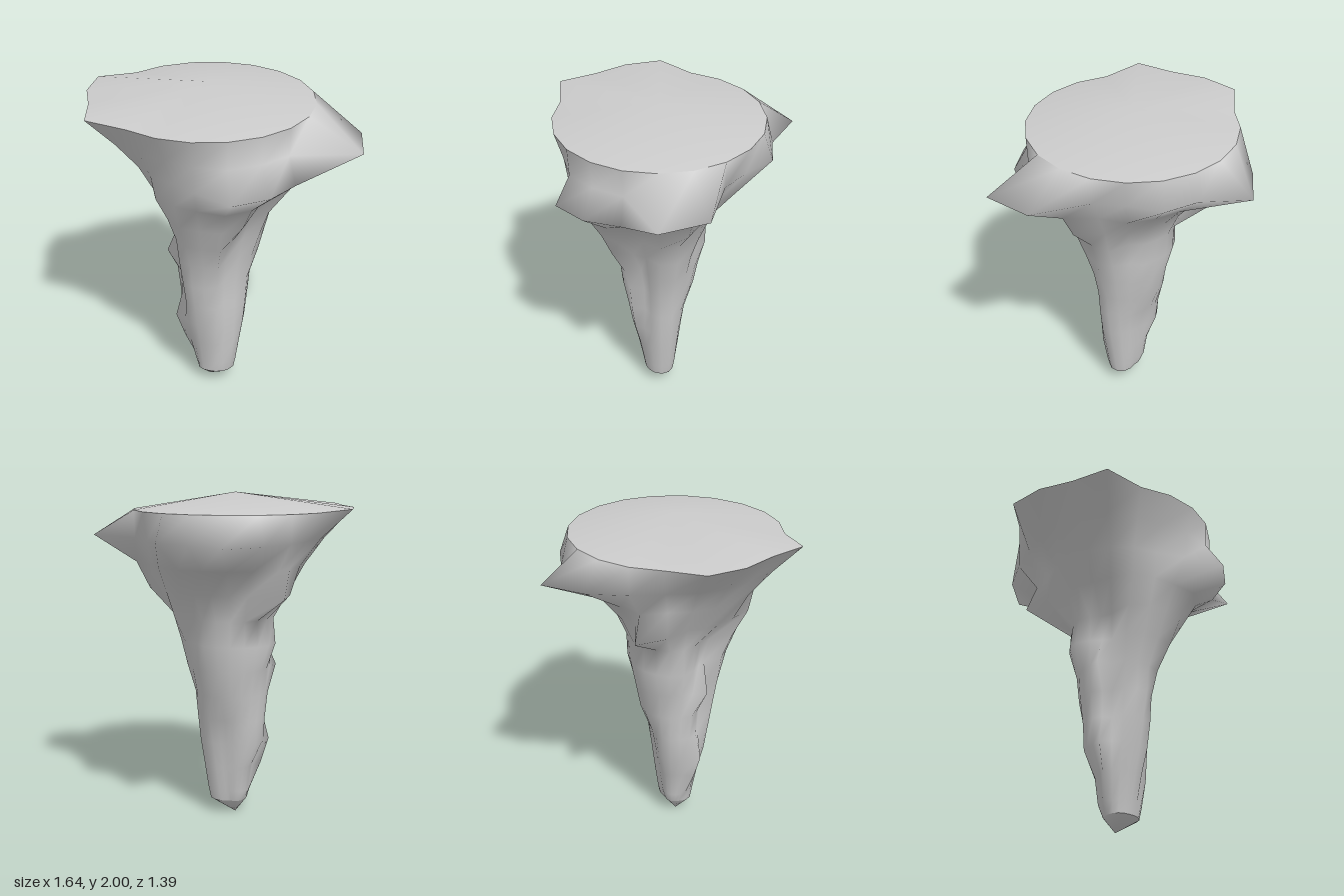
import * as THREE from 'three';

const SIDES = 20;
const CX = -0.1, CZ = 0.085;

// Rings from the rim down: height, then radius toward +x, +z, -x, -z
const RINGS = [
  [1.90, 0.605, 0.605, 0.605, 0.605],
  [1.74, 0.60, 0.53, 0.53, 0.60],
  [1.58, 0.58, 0.46, 0.41, 0.475],
  [1.425, 0.46, 0.435, 0.32, 0.345],
  [1.265, 0.38, 0.385, 0.25, 0.275],
  [1.11, 0.325, 0.32, 0.265, 0.265],
  [0.95, 0.275, 0.26, 0.21, 0.235],
  [0.79, 0.245, 0.245, 0.20, 0.205],
  [0.63, 0.235, 0.215, 0.185, 0.145],
  [0.475, 0.22, 0.19, 0.18, 0.115],
  [0.32, 0.195, 0.155, 0.11, 0.095],
  [0.16, 0.17, 0.125, 0.09, 0.07],
  [0.09, 0.155, 0.115, 0.06, 0.05],
];

// Rocky bulges and grooves: ring -> { side index: radius }
const BULGES = {
  0: { 7: 0.735, 8: 0.665, 9: 0.695, 10: 0.72 },
  1: { 0: 0.92, 1: 0.6, 2: 0.6, 3: 0.6, 4: 0.56, 7: 0.57, 12: 0.6, 13: 0.71, 14: 0.825,
    15: 0.645, 16: 0.66, 17: 0.58, 18: 0.6, 19: 0.86 },
  2: { 0: 0.6, 1: 0.65, 2: 0.69, 3: 0.7, 4: 0.54, 12: 0.48, 18: 0.5, 19: 0.6 },
  3: { 1: 0.43, 2: 0.5, 3: 0.51, 4: 0.455, 7: 0.36, 8: 0.33, 11: 0.42, 12: 0.54, 19: 0.52 },
  4: { 1: 0.33, 2: 0.4, 3: 0.42, 4: 0.39, 6: 0.34, 7: 0.22, 8: 0.2, 9: 0.22, 17: 0.28, 18: 0.37 },
  5: { 1: 0.27, 2: 0.27, 3: 0.355, 4: 0.33, 6: 0.28, 7: 0.19, 8: 0.19, 9: 0.22, 11: 0.27,
    16: 0.28, 17: 0.26, 19: 0.33 },
  6: { 1: 0.235, 2: 0.2, 3: 0.275, 6: 0.26, 7: 0.19, 8: 0.26, 19: 0.29 },
  7: { 1: 0.21, 2: 0.175, 3: 0.235, 6: 0.235, 7: 0.165, 8: 0.18 },
  8: { 1: 0.205, 2: 0.17, 3: 0.225, 7: 0.16, 8: 0.18 },
  9: { 1: 0.2, 2: 0.18, 3: 0.205, 7: 0.18, 8: 0.22 },
  10: { 2: 0.16, 7: 0.15, 8: 0.17 },
};

function radiusAt(j, i) {
  const bulge = BULGES[j]?.[i];
  if (bulge) return bulge;
  const r = RINGS[j].slice(1);
  const q = (i / SIDES) * 4, k = Math.floor(q), f = q - k;
  const t = Math.sin(f * Math.PI / 2) ** 2;
  return r[k] * (1 - t) + r[(k + 1) % 4] * t;
}

function ringPoint(j, i) {
  const a = (i / SIDES) * Math.PI * 2, r = radiusAt(j, i);
  const lift = j === 0 && i >= 7 && i <= 10 ? 0.015 : 0;
  return [CX + r * Math.cos(a), RINGS[j][0] + lift, CZ + r * Math.sin(a)];
}

function makeMesh(name, positions, index) {
  const g = new THREE.BufferGeometry();
  g.setAttribute('position', new THREE.Float32BufferAttribute(positions, 3));
  g.setIndex(index);
  g.computeVertexNormals();
  const mesh = new THREE.Mesh(g, new THREE.MeshStandardMaterial({
    color: 0xcccccc, side: THREE.DoubleSide }));
  mesh.name = name;
  return mesh;
}

// Fan from one ring to a point above or below it
function makeFan(name, j, apex, up) {
  const positions = [...apex], index = [];
  for (let i = 0; i < SIDES; i++) {
    positions.push(...ringPoint(j, i));
    const a = 1 + i, b = 1 + (i + 1) % SIDES;
    index.push(0, up ? b : a, up ? a : b);
  }
  return makeMesh(name, positions, index);
}

export function createModel() {
  const group = new THREE.Group();
  group.name = 'rockSpire';

  // Tapering rock body
  const body = [], bodyIndex = [], last = RINGS.length - 1;
  for (let j = 0; j <= last; j++) {
    for (let i = 0; i < SIDES; i++) {
      body.push(...ringPoint(j, i));
      if (j === last) continue;
      const a = j * SIDES + i, b = j * SIDES + (i + 1) % SIDES;
      bodyIndex.push(a, b, b + SIDES, a, b + SIDES, a + SIDES);
    }
  }
  group.add(makeMesh('rockBody', body, bodyIndex));

  // Low conical top and blunt pointed bottom, each with a sharp edge
  group.add(makeFan('topSurface', 0, [CX, 2, CZ], true));
  group.add(makeFan('bottomTip', last, [CX, 0, CZ + 0.02], false));

  return group;
}
